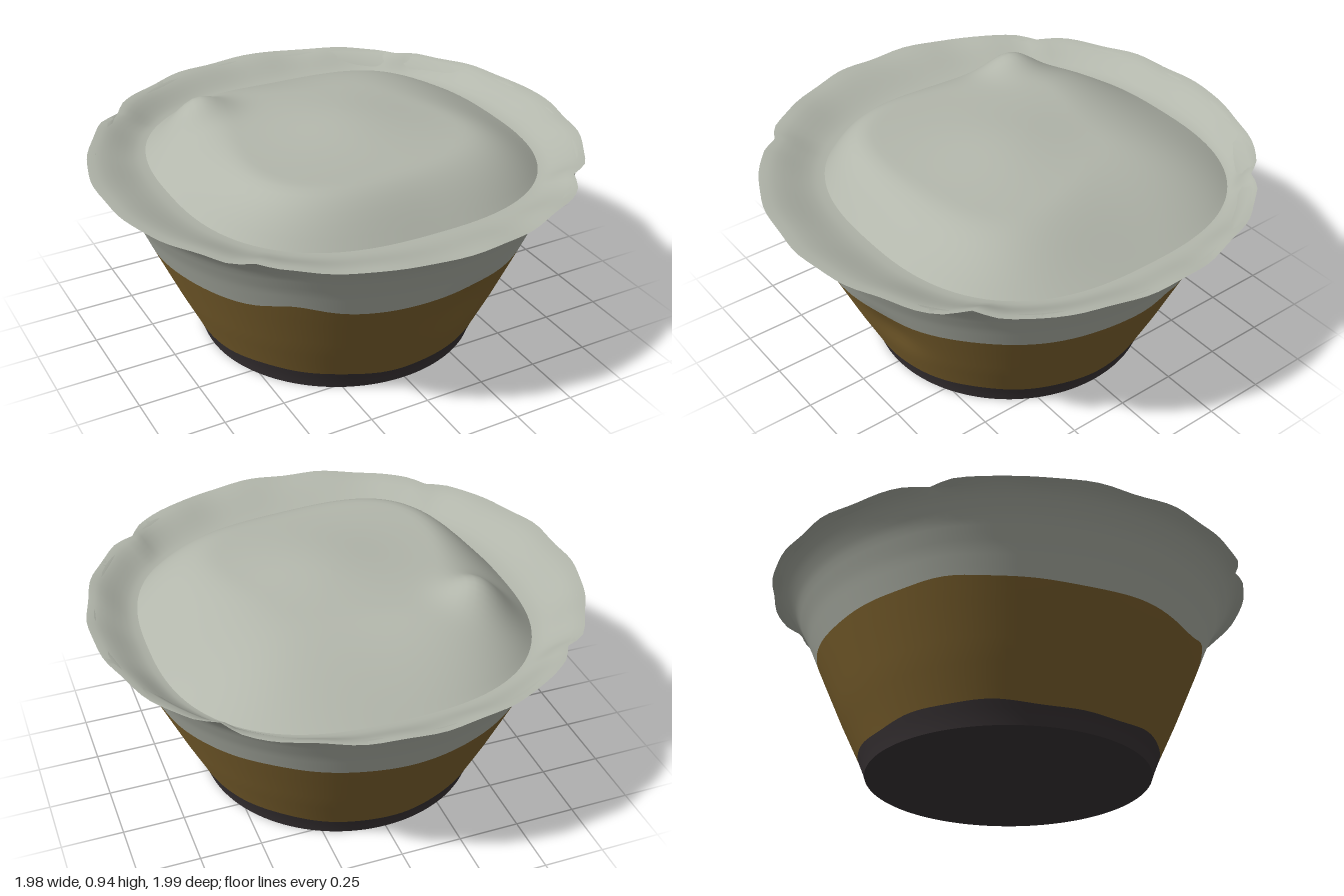
import * as THREE from 'three';

const SEG = 128;

// Closed rings (functions of angle returning [x, y, z]) joined into one smooth skin
function skin(name, material, rings) {
  const pos = [], idx = [];
  rings.forEach((ring) => {
    for (let j = 0; j < SEG; j++) pos.push(...ring((j / SEG) * Math.PI * 2));
  });
  for (let i = 0; i < rings.length - 1; i++) {
    for (let j = 0; j < SEG; j++) {
      const k = (j + 1) % SEG;
      const a = i * SEG + j, b = i * SEG + k, c = a + SEG, d = b + SEG;
      idx.push(a, b, c, b, d, c);
    }
  }
  const g = new THREE.BufferGeometry();
  g.setAttribute('position', new THREE.Float32BufferAttribute(pos, 3));
  g.setIndex(idx);
  g.computeVertexNormals();
  const mesh = new THREE.Mesh(g, material);
  mesh.name = name;
  return mesh;
}

const gauss = (d, w) => Math.exp(-(d * d) / (w * w));
const polar = (r, y, a) => [r * Math.sin(a), y, r * Math.cos(a)];

// Wall profile: radius at each height
const PROFILE = [[0, 0.575], [0.03, 0.585], [0.08, 0.605], [0.25, 0.685], [0.48, 0.785],
  [0.6, 0.835], [0.7, 0.885], [0.76, 0.93], [0.785, 0.96]];
function wallRadius(y) {
  for (let i = 1; i < PROFILE.length; i++) {
    const [y0, r0] = PROFILE[i - 1], [y1, r1] = PROFILE[i];
    if (y <= y1) return r0 + ((r1 - r0) * (y - y0)) / (y1 - y0);
  }
  return PROFILE[PROFILE.length - 1][1];
}

// Uneven borders between the layers
const baseTop = (a) => 0.081 - 0.009 * Math.cos(4 * a) + 0.003 * Math.sin(11 * a);
const fillTop = (a) => 0.488 + 0.004 * Math.sin(9 * a + 1) + 0.03 * gauss(a - 5.6, 0.15)
  + 0.036 * gauss(a - 1.78, 0.08) + 0.02 * gauss(a - 2.5, 0.2) + 0.025 * gauss(a - 3.92, 0.2);

// Wall point, with a soft dimple on the front
function wallPoint(y, a) {
  const dimple = 0.02 * gauss(a - 0.25, 0.16) * gauss(y - 0.38, 0.12);
  return polar(wallRadius(y) - dimple, y, a);
}

// Slightly wavy rim edge, nicked at the four diagonals
function rimPoint(a) {
  const nick = 0.03 * Math.pow(Math.abs(Math.sin(2 * a)), 160);
  const r = 0.992 + 0.003 * Math.sin(13 * a) + 0.003 * Math.sin(22 * a + 1) - nick;
  return polar(r, 0.792 + 0.003 * Math.sin(17 * a), a);
}

// Rounded-square ring of the cream, s = 1 at the groove, 0 at the middle
function creamPoint(s, a) {
  const c = Math.cos(a), n = Math.sin(a);
  const e = 2.6 + 3 * (1 - s); // squarer towards the plateau
  const r = (0.75 * s) / Math.pow(Math.abs(c) ** e + Math.abs(n) ** e, 1 / e);
  const x = 0.04 + r * n, z = -0.05 + r * c;
  // steep at the front and left as seen from above, gentle at the back and right
  const width = 0.48 + 0.09 * n - 0.18 * c;
  const lift = Math.sin((Math.PI / 2) * Math.min(1, (1 - s) / width));
  let y = 0.718 + 0.157 * lift + 0.015 * (1 - s * s);
  y += lift * (0.006 * Math.sin(5 * x + 1) * Math.cos(4 * z) - 0.02 * x);
  y += 0.075 * gauss(Math.hypot(x + 0.46, z + 0.36), 0.12); // peak
  y += 0.02 * gauss(Math.hypot(x - 0.05, z - 0.05), 0.25);
  return [x, y, z];
}

export function createModel() {
  const cream = new THREE.MeshStandardMaterial({ color: 0xb3b7ac, side: THREE.DoubleSide });
  cream.name = 'pale cream';
  const brown = new THREE.MeshStandardMaterial({ color: 0x826630 });
  brown.name = 'caramel brown';
  const dark = new THREE.MeshStandardMaterial({ color: 0x3b3537 });
  dark.name = 'dark base';

  const group = new THREE.Group();
  group.name = 'layeredDessertCup';
  const steps = (n) => Array.from({ length: n + 1 }, (_, i) => i / n);
  const band = (lo, hi, n) => steps(n).map((t) => (a) => wallPoint(lo(a) + (hi(a) - lo(a)) * t, a));

  // Underside and the three layers of the wall
  group.add(skin('underside', dark, [0, 0.3, 0.575].map((r) => (a) => polar(r, 0, a))));
  group.add(skin('baseLayer', dark, band(() => 0, baseTop, 3)));
  group.add(skin('middleLayer', brown, band(baseTop, fillTop, 10)));
  group.add(skin('upperWall', cream, [...band(fillTop, () => 0.785, 12), rimPoint]));

  // Rim rolling over and sloping inward to the groove around the cream
  const slope = steps(8).map((t) => (a) => {
    const p = rimPoint(a), q = creamPoint(1, a);
    const drop = THREE.MathUtils.smoothstep(t, 0, 1);
    return [p[0] + (q[0] - p[0]) * t, p[1] + (q[1] - p[1]) * drop, p[2] + (q[2] - p[2]) * t];
  });
  group.add(skin('rim', cream, slope));

  // Domed cream topping
  group.add(skin('creamTopping', cream, steps(24).map((t) => (a) => creamPoint(1 - t, a))));
  return group;
}
